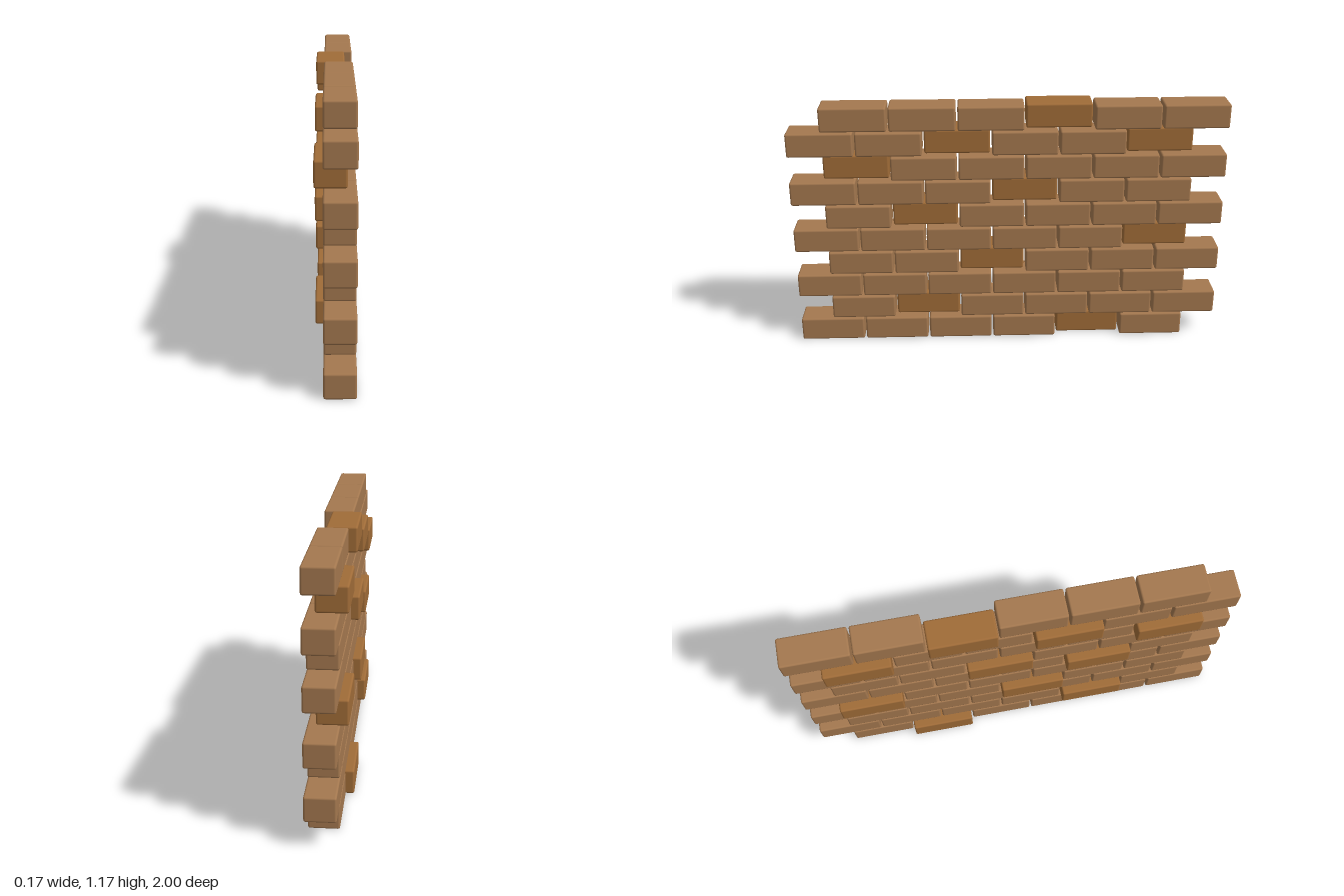
import * as THREE from 'three';
import { RoundedBoxGeometry } from 'three/addons/geometries/RoundedBoxGeometry.js';

const ROWS = 10, PER_ROW = 6;
const BRICK = { depth: 0.134, height: 0.112, length: 0.3 };
const ROW_PITCH = 0.1177, BRICK_PITCH = 0.309;

// Index of the pushed-back bricks in each course, bottom to top
const PUSHED = [[4], [1], [], [2], [5], [1], [3], [0], [2, 5], [3]];

export function createModel() {
  const wall = new THREE.Group();
  wall.name = 'brickWall';

  const plain = new THREE.MeshStandardMaterial({ color: 0xa4784f });
  const dark = new THREE.MeshStandardMaterial({ color: 0xa06c38 });
  const geometry = new RoundedBoxGeometry(BRICK.depth, BRICK.height, BRICK.length, 2, 0.009);

  for (let row = 0; row < ROWS; row++) {
    const course = new THREE.Group();
    course.name = `course${row + 1}`;
    // Running bond: every other course shifts by half a brick
    const firstZ = row % 2 === 0 ? 0.85 : 0.695;
    for (let i = 0; i < PER_ROW; i++) {
      const pushed = PUSHED[row].includes(i);
      const brick = new THREE.Mesh(geometry, pushed ? dark : plain);
      brick.name = pushed ? 'pushedBrick' : 'brick';
      brick.position.set(
        pushed ? -0.02 : 0.017,
        0.002 + BRICK.height / 2 + row * ROW_PITCH,
        firstZ - i * BRICK_PITCH
      );
      course.add(brick);
    }
    wall.add(course);
  }
  return wall;
}
